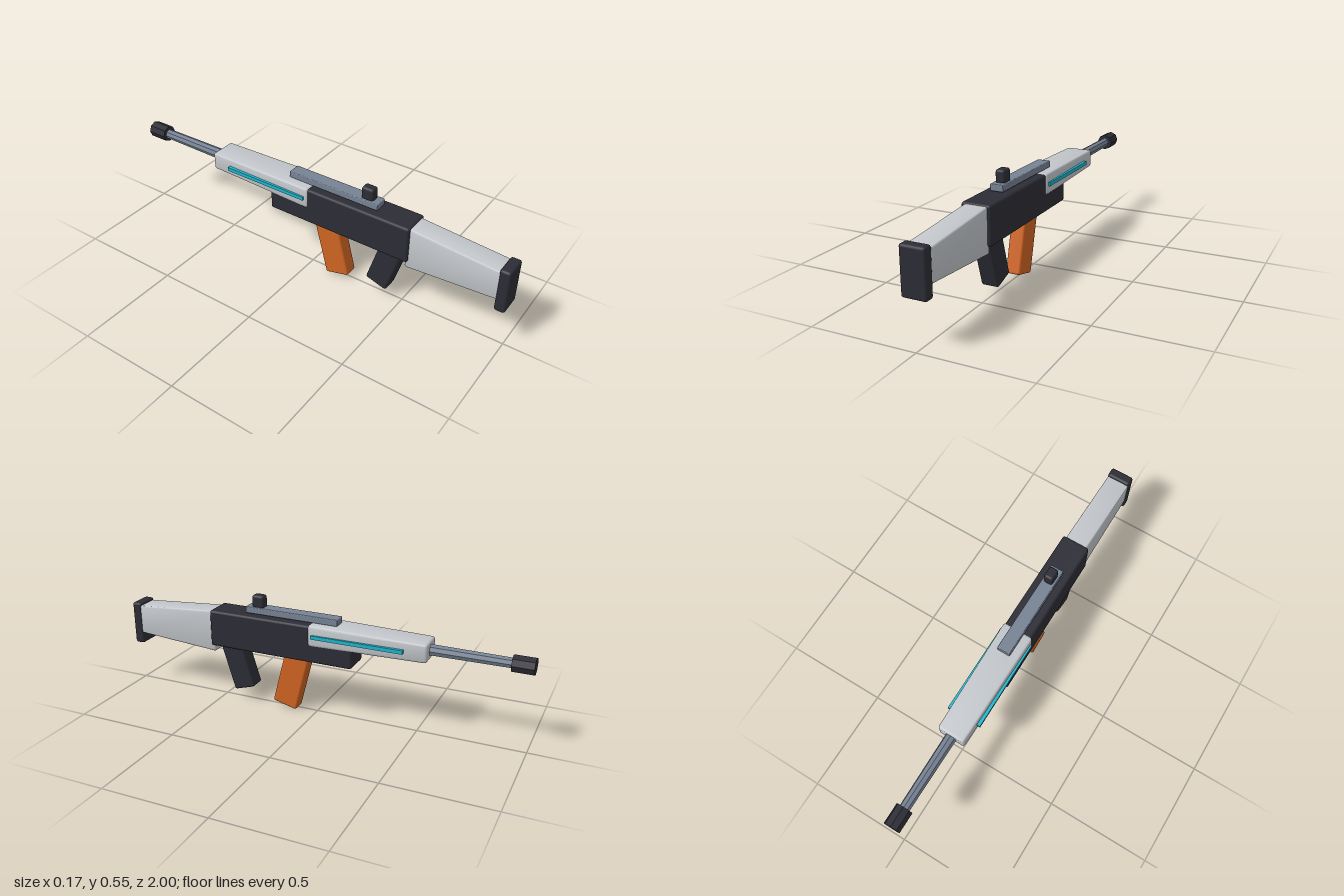
import * as THREE from 'three';
import { RoundedBoxGeometry } from 'three/addons/geometries/RoundedBoxGeometry.js';
import { toCreasedNormals } from 'three/addons/utils/BufferGeometryUtils.js';

export function createModel() {
  const group = new THREE.Group();
  const material = (name, color, flatShading = false) => {
    const m = new THREE.MeshStandardMaterial({ color });
    m.name = name;
    m.flatShading = flatShading;
    return m;
  };
  const dark = material('charcoal', 0x2c2d35);
  const light = material('light grey', 0xc3c7cb);
  const steel = material('steel', 0x768294, true);
  const orange = material('orange', 0xcf6422);
  const teal = material('teal', 0x1fb4cb);

  function add(name, geometry, mat, x, y, z) {
    const mesh = new THREE.Mesh(geometry, mat);
    mesh.name = name;
    mesh.position.set(x, y, z);
    group.add(mesh);
    return mesh;
  }

  // Soft-edged box spanning y0..y1 and z0..z1, centred on x
  function block(name, mat, width, y0, y1, z0, z1, bevel) {
    const g = new RoundedBoxGeometry(width, y1 - y0, z1 - z0, 2, bevel);
    return add(name, g, mat, 0, (y0 + y1) / 2, (z0 + z1) / 2);
  }

  // Soft-edged box whose section blends between two ends: { z, w, y0, y1 }
  function taperedBlock(name, mat, back, front, bevel) {
    const length = front.z - back.z;
    const g = new RoundedBoxGeometry(1, 1, length, 2, bevel);
    // rebuild the box at the larger section so the bevel stays even
    const w = Math.max(back.w, front.w);
    const h = Math.max(back.y1 - back.y0, front.y1 - front.y0);
    const shape = new RoundedBoxGeometry(w, h, length, 2, bevel);
    g.dispose();
    const p = shape.attributes.position;
    for (let i = 0; i < p.count; i++) {
      const t = p.getZ(i) / length + 0.5;
      const mix = (key) => THREE.MathUtils.lerp(back[key], front[key], t);
      const y = THREE.MathUtils.lerp(mix('y0'), mix('y1'), p.getY(i) / h + 0.5);
      p.setXYZ(i, p.getX(i) / w * mix('w'), y, p.getZ(i));
    }
    return add(name, toCreasedNormals(shape, 0.6), mat, 0, 0, (back.z + front.z) / 2);
  }

  // Main body and shoulder stock
  block('receiver', dark, 0.138, 0.28, 0.46, -0.197, 0.54, 0.012);
  taperedBlock('stock', light,
    { z: 0.523, w: 0.11, y0: 0.245, y1: 0.455 },
    { z: 0.96, w: 0.11, y0: 0.276, y1: 0.42 }, 0.01);
  block('buttPad', dark, 0.116, 0.219, 0.433, 0.95, 1, 0.012);

  // Handguard with a side strip on each side
  taperedBlock('handguard', light,
    { z: -0.545, w: 0.13, y0: 0.37, y1: 0.456 },
    { z: 0.018, w: 0.15, y0: 0.362, y1: 0.464 }, 0.012);
  for (const side of [-1, 1]) {
    add(side > 0 ? 'leftStrip' : 'rightStrip',
      new THREE.BoxGeometry(0.02, 0.018, 0.44), teal, side * 0.073, 0.412, -0.221);
  }

  // Barrel and muzzle
  function octagonRod(name, mat, frontRadius, rearRadius, z0, z1) {
    const g = new THREE.CylinderGeometry(rearRadius, frontRadius, z1 - z0, 8).toNonIndexed();
    g.computeVertexNormals();
    g.rotateX(Math.PI / 2);
    add(name, g, mat, 0, 0.414, (z0 + z1) / 2);
  }
  octagonRod('barrel', steel, 0.024, 0.027, -0.92, -0.53);
  octagonRod('muzzle', dark, 0.04, 0.04, -1, -0.903);

  // Top rail and sight
  block('topRail', steel, 0.064, 0.463, 0.495, -0.111, 0.361, 0.005);
  block('sight', dark, 0.046, 0.488, 0.552, 0.27, 0.331, 0.012);

  // Raked grip and magazine
  const grip = add('grip', new RoundedBoxGeometry(0.086, 0.24, 0.112, 2, 0.012),
    dark, 0, 0.184, 0.412);
  grip.rotation.x = 0.3;
  const magazine = add('magazine', new RoundedBoxGeometry(0.072, 0.28, 0.124, 2, 0.01),
    orange, 0, 0.154, 0.127);
  magazine.rotation.x = -0.25;

  return group;
}
